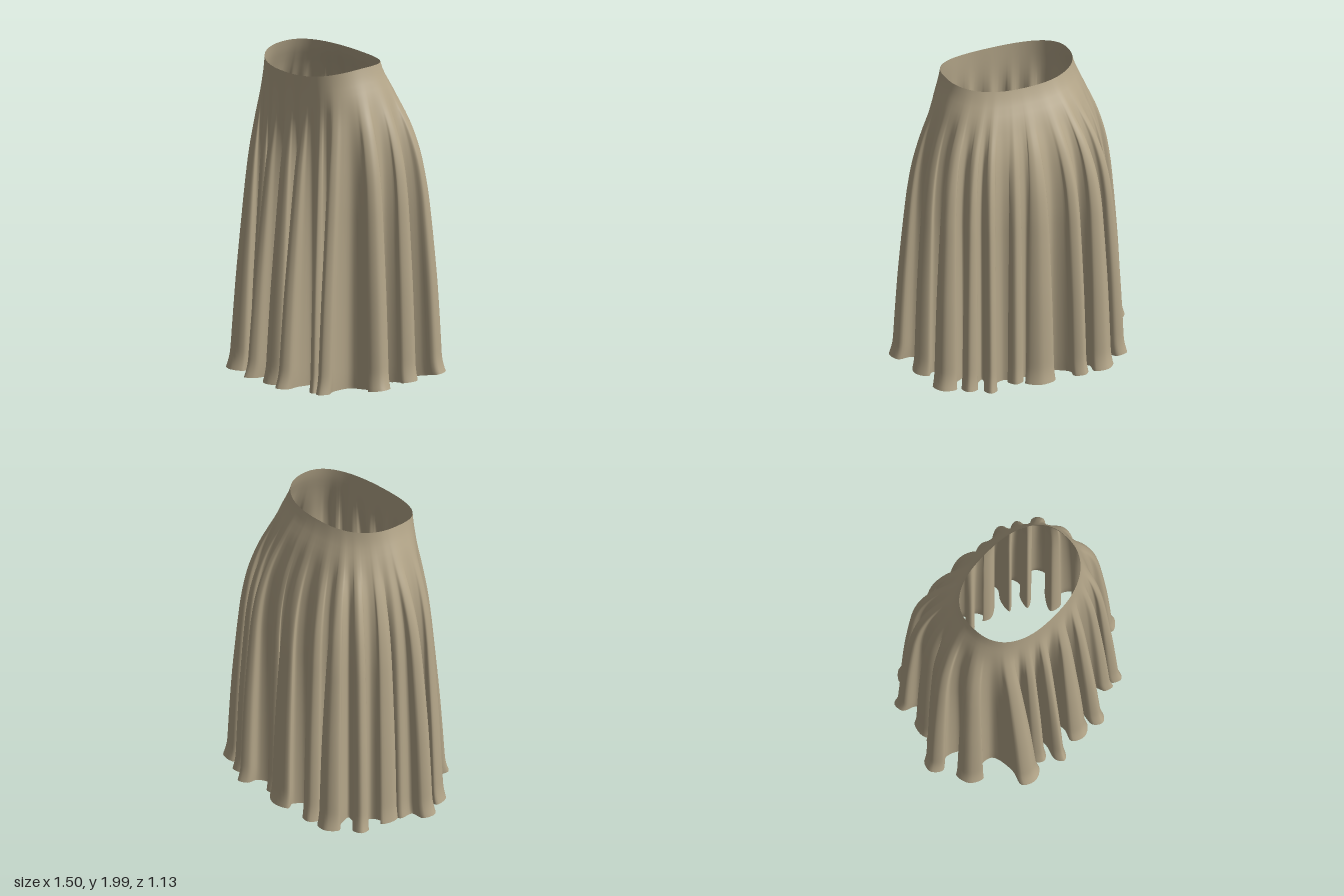
import * as THREE from 'three';

// Folds, clockwise from the back: base x,z on the hip ring, head x,z at the hem,
// head width, and how far the valley after the fold sinks inward
const FOLDS = [
  [0.01, -0.42, 0.03, -0.52, 0.19, 0.01],
  [0.15, -0.41, 0.16, -0.44, 0.10, 0.01],
  [0.31, -0.38, 0.35, -0.50, 0.08, 0.03],
  [0.40, -0.33, 0.46, -0.43, 0.10, 0.03],
  [0.50, -0.24, 0.60, -0.37, 0.15, 0.03],
  [0.56, -0.09, 0.65, -0.12, 0.14, 0.03],
  [0.55, 0.10, 0.70, 0.14, 0.14, 0.03],
  [0.43, 0.28, 0.48, 0.41, 0.09, 0.02],
  [0.33, 0.32, 0.40, 0.41, 0.07, 0.04],
  [0.19, 0.34, 0.21, 0.52, 0.10, 0.07],
  [0.06, 0.36, 0.07, 0.50, 0.15, 0.09],
  [-0.10, 0.35, -0.12, 0.52, 0.08, 0.04],
  [-0.21, 0.34, -0.21, 0.43, 0.10, 0.08],
  [-0.35, 0.30, -0.34, 0.48, 0.16, 0.03],
  [-0.52, 0.16, -0.60, 0.22, 0.17, 0.03],
  [-0.56, -0.02, -0.71, 0.02, 0.13, -0.08],
  [-0.51, -0.18, -0.57, -0.17, 0.18, 0.0],
  [-0.44, -0.31, -0.55, -0.40, 0.10, 0.03],
  [-0.35, -0.39, -0.39, -0.52, 0.15, 0.03],
  [-0.20, -0.42, -0.24, -0.52, 0.11, 0.02],
];
const CENTRE = new THREE.Vector3(0, 0, 0.07);
const STEPS = 5, ROWS = 48;
const SLOTS = [-0.28, -0.15, 0, 0.15, 0.28, 0.5]; // place of each fold point along the ring

// Smooth value curve over 0..1 from evenly spaced keys
function keyed(values) {
  const curve = new THREE.SplineCurve(values.map((v, i) => new THREE.Vector2(i, v)));
  return t => curve.getPoint(t).y;
}
const hipSpread = keyed([0, 0.42, 0.75, 0.92, 0.99, 1, 1, 1, 1, 1, 1]);
const foldDepth = keyed([0, 0.03, 0.19, 0.36, 0.48, 0.58, 0.67, 0.75, 0.81, 0.86, 0.9]);

// Rounded waist opening in the direction of a ring point
function waistPoint(p) {
  const d = p.clone().sub(CENTRE).setY(0).normalize();
  const k = 2.4;
  const r = Math.pow(Math.pow(Math.abs(d.x) / 0.41, k) + Math.pow(Math.abs(d.z) / 0.285, k), -1 / k);
  const w = d.multiplyScalar(r).add(CENTRE);
  w.y = 2 - 0.5 * w.z * w.z;
  return w;
}

// Omega-shaped outline of all folds at the hem
function hemCurve(ringAt) {
  const pts = [];
  FOLDS.forEach(([bx, bz, hx, hz, width, inset], i) => {
    const base = new THREE.Vector3(bx, 0, bz), head = new THREE.Vector3(hx, 0, hz);
    const out = head.clone().sub(base).normalize();
    const side = new THREE.Vector3(-out.z, 0, out.x);
    const neck = base.clone().lerp(head, 0.4);
    pts.push(
      neck.clone().addScaledVector(side, -width * 0.28),
      head.clone().addScaledVector(side, -width * 0.5),
      head.clone().addScaledVector(out, 0.045),
      head.clone().addScaledVector(side, width * 0.5),
      neck.clone().addScaledVector(side, width * 0.28));
    const valley = ringAt(i + 0.5);
    const inward = CENTRE.clone().sub(valley).normalize();
    pts.push(valley.addScaledVector(inward, inset));
  });
  return new THREE.CatmullRomCurve3(pts, true, 'centripetal');
}

function skirtGeometry() {
  const n = FOLDS.length, count = n * SLOTS.length, cols = count * STEPS;
  const ring = new THREE.CatmullRomCurve3(FOLDS.map(f => new THREE.Vector3(f[0], 0, f[1])), true, 'centripetal');
  const ringAt = u => ring.getPoint((((u / n) % 1) + 1) % 1);
  const hem = hemCurve(ringAt);
  const slot = k => Math.floor(k / 6) + SLOTS[k % 6];

  // Matching waist, hip and hem points for each column of cloth
  const columns = [];
  for (let c = 0; c < cols; c++) {
    const k = Math.floor(c / STEPS), s = (c % STEPS) / STEPS;
    const hip = ringAt(THREE.MathUtils.lerp(slot(k), slot(k + 1), s));
    columns.push({ hip, waist: waistPoint(hip), edge: hem.getPoint(c / cols) });
  }

  const pos = [], index = [];
  for (let r = 0; r <= ROWS; r++) {
    const t = 1 - Math.pow(1 - r / ROWS, 1.15);
    const g = hipSpread(t);
    const flare = 0.1 * Math.pow(Math.max(0, (t - 0.94) / 0.06), 2);
    for (const { hip, waist, edge } of columns) {
      const front = THREE.MathUtils.clamp(hip.z / 0.3, 0, 1);
      const f = foldDepth(t) * (1 - 0.3 * front * (1 - t)) + flare;
      const reach = edge.distanceTo(hip);
      const hemY = 0.04 - 0.035 * front + 0.15 * reach * (1 - 0.6 * front);
      pos.push(
        waist.x + (hip.x - waist.x) * g + (edge.x - hip.x) * f,
        THREE.MathUtils.lerp(waist.y, hemY, t),
        waist.z + (hip.z - waist.z) * g + (edge.z - hip.z) * f);
    }
  }
  for (let r = 0; r < ROWS; r++) {
    for (let c = 0; c < cols; c++) {
      const d = (c + 1) % cols;
      const a = r * cols + c, b = r * cols + d;
      index.push(a, b, a + cols, b, b + cols, a + cols);
    }
  }
  const geo = new THREE.BufferGeometry();
  geo.setAttribute('position', new THREE.Float32BufferAttribute(pos, 3));
  geo.setIndex(index);
  geo.computeVertexNormals();
  return geo;
}

export function createModel() {
  const group = new THREE.Group();
  group.name = 'pleatedSkirt';
  const cloth = new THREE.MeshStandardMaterial({ color: 0xb5a78a, side: THREE.DoubleSide });
  cloth.name = 'beige cloth';
  const skirt = new THREE.Mesh(skirtGeometry(), cloth);
  skirt.name = 'skirtCloth';
  group.add(skirt);
  return group;
}
